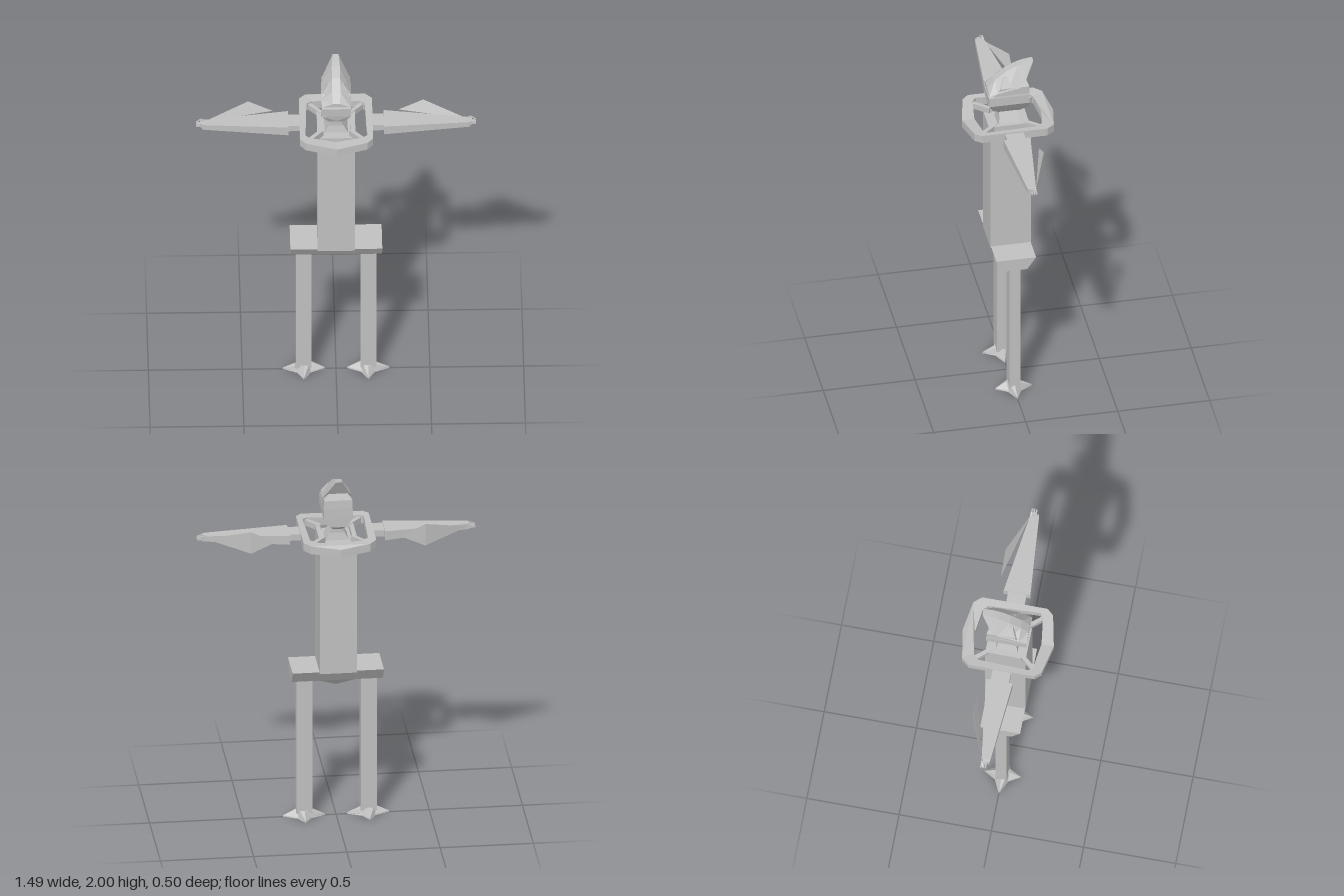
import * as THREE from 'three';

const gray = new THREE.MeshStandardMaterial({ color: 0xc0c0c0, flatShading: true });
gray.name = 'plain gray';

function add(parent, geometry, name, x = 0, y = 0, z = 0) {
  const mesh = new THREE.Mesh(geometry, gray);
  mesh.name = name;
  mesh.position.set(x, y, z);
  parent.add(mesh);
  return mesh;
}

// Box given by its lower and upper corners
function block(parent, name, [x0, y0, z0], [x1, y1, z1]) {
  return add(parent, new THREE.BoxGeometry(x1 - x0, y1 - y0, z1 - z0), name,
    (x0 + x1) / 2, (y0 + y1) / 2, (z0 + z1) / 2);
}

// Closed faceted skin through rings of equal point count, always facing outwards
function loft(rings) {
  const tris = [];
  const n = rings[0].length;
  for (let r = 0; r + 1 < rings.length; r++) {
    for (let i = 0; i < n; i++) {
      const j = (i + 1) % n;
      const [a, b, c, d] = [rings[r][i], rings[r][j], rings[r + 1][j], rings[r + 1][i]];
      tris.push([a, b, c], [a, c, d]);
    }
  }
  const cap = (ring, flip) => {
    const m = [0, 1, 2].map(k => ring.reduce((s, p) => s + p[k], 0) / n);
    ring.forEach((p, i) => {
      const q = ring[(i + 1) % n];
      tris.push(flip ? [q, p, m] : [p, q, m]);
    });
  };
  cap(rings[0], true);
  cap(rings[rings.length - 1], false);
  const v = p => new THREE.Vector3(...p);
  const volume = tris.reduce((s, [a, b, c]) => s + v(a).dot(v(b).cross(v(c))), 0);
  if (volume < 0) tris.forEach(t => t.reverse());
  const g = new THREE.BufferGeometry();
  g.setAttribute('position', new THREE.Float32BufferAttribute(tris.flat(2), 3));
  g.computeVertexNormals();
  return g;
}

// Horizontal rectangle ring and vertical (constant x) rectangle ring
const level = (y, x, zBack, zFront) => [[x, y, zFront], [x, y, zBack], [-x, y, zBack], [-x, y, zFront]];
const slice = (x, y0, y1, z0, z1) => [[x, y0, z0], [x, y1, z0], [x, y1, z1], [x, y0, z1]];

function collar(parent) {
  const half = [[0, -0.245], [0.165, -0.21], [0.195, -0.175], [0.195, 0.18], [0.16, 0.222], [0, 0.25]];
  const holeHalf = [[0, -0.178], [0.14, -0.16], [0.165, -0.14], [0.155, 0.14], [0.125, 0.165], [0, 0.183]];
  const outline = h => [...h, ...h.slice(1, -1).reverse().map(([x, y]) => [-x, y])]
    .map(([x, y]) => new THREE.Vector2(x, y));
  const shape = new THREE.Shape(outline(half));
  shape.holes.push(new THREE.Path(outline(holeHalf)));
  const g = new THREE.ExtrudeGeometry(shape, { depth: 0.045, bevelEnabled: false });
  g.rotateX(-Math.PI / 2);
  // Sag towards the middle of front and back
  const p = g.attributes.position;
  for (let i = 0; i < p.count; i++) p.setY(i, p.getY(i) - 0.02 * (1 - Math.abs(p.getX(i)) / 0.195));
  g.computeVertexNormals();
  add(parent, g, 'collarRing', 0, 1.627, 0);
  for (const sx of [-1, 1]) {
    block(parent, 'collarRail', [sx * 0.09 - 0.012, 1.62, -0.09], [sx * 0.09 + 0.012, 1.655, 0.09]);
    for (const sz of [-1, 1]) {
      const strut = add(parent, new THREE.BoxGeometry(0.022, 0.032, 0.115), 'collarStrut',
        sx * 0.113, 1.642, sz * 0.122);
      strut.rotation.y = sx * sz * 0.7;
    }
  }
}

function head(parent) {
  add(parent, loft([level(1.62, 0.065, -0.06, 0.06), level(1.665, 0.04, -0.05, 0.05),
    level(1.7, 0.02, -0.05, 0.05)]), 'neck');
  add(parent, loft([
    level(1.69, 0.02, -0.06, 0.045), level(1.72, 0.043, -0.105, 0.085),
    level(1.77, 0.078, -0.107, 0.11), level(1.822, 0.078, -0.107, 0.113),
    level(1.83, 0.076, -0.107, 0.08), level(1.875, 0.076, -0.105, 0.05),
    level(1.925, 0.04, -0.085, 0.03)]), 'face');
  // Chin plate with a pointed lower edge
  add(parent, loft([
    [[-0.077, 1.772, 0.108], [0, 1.772, 0.108], [0.077, 1.772, 0.108], [0, 1.738, 0.09]],
    [[-0.077, 1.772, 0.112], [0, 1.772, 0.112], [0.077, 1.772, 0.112], [0, 1.738, 0.106]]]), 'chinPlate');
  for (const s of [-1, 1]) block(parent, 'eye', [s * 0.058 - 0.013, 1.828, 0.078], [s * 0.058 + 0.013, 1.836, 0.086]);
  // Swept helmet: z, ridge height, ridge half width, side x, side y
  const sections = [
    [0.112, 1.856, 0.02, 0.076, 1.833], [0.07, 1.903, 0.022, 0.08, 1.85],
    [0.01, 1.95, 0.022, 0.08, 1.862], [-0.05, 1.978, 0.022, 0.08, 1.87],
    [-0.088, 1.99, 0.02, 0.066, 1.905], [-0.138, 2.0, 0.016, 0.018, 1.995]];
  add(parent, loft(sections.map(([z, y, r, x, b]) => [[x, b, z], [r, y, z], [-r, y, z], [-x, b, z]])), 'helmet');
}

function arm() {
  const g = new THREE.Group();
  block(g, 'shoulderJoint', [0.16, 1.63, -0.05], [0.258, 1.666, 0.05]);
  add(g, loft([slice(0.255, 1.618, 1.67, -0.075, 0.07), slice(0.7, 1.633, 1.664, -0.015, 0.033),
    slice(0.715, 1.633, 1.662, -0.012, 0.03)]), 'forearm');
  // Double-edged blade swept back behind the forearm
  const tip = [0.705, 1.65, -0.015], inner = [0.335, 1.65, -0.105];
  const top = [0.467, 1.715, -0.105], low = [0.467, 1.59, -0.105];
  add(g, loft([[tip, tip, tip], [inner, top, low]]), 'armBlade');
  // Hand with three fingers and a thumb
  block(g, 'palm', [0.7, 1.638, -0.015], [0.724, 1.66, 0.018]);
  for (const z of [-0.011, 0.001, 0.013]) block(g, 'finger', [0.722, 1.64, z - 0.004], [0.746, 1.65, z + 0.004]);
  add(g, loft([slice(0.7, 1.658, 1.664, -0.016, -0.008), slice(0.72, 1.667, 1.674, -0.014, -0.006),
    slice(0.746, 1.657, 1.662, -0.004, 0.002)]), 'thumb');
  return g;
}

function leg() {
  const g = new THREE.Group();
  block(g, 'legPost', [0.13, 0.025, -0.03], [0.215, 0.82, 0.03]);
  // Four-pointed star foot
  const star = (y, rx, rz, inner) => Array.from({ length: 8 }, (_, i) => {
    const a = i * Math.PI / 4, odd = i % 2;
    return [0.172 + Math.cos(a) * (odd ? inner : rx), y, Math.sin(a) * (odd ? inner : rz)];
  });
  add(g, loft([star(0, 0.114, 0.1, 0.052), star(0.008, 0.112, 0.098, 0.048),
    star(0.042, 0.042, 0.038, 0.036)]), 'foot');
  return g;
}

export function createModel() {
  const model = new THREE.Group();
  model.name = 'figure';

  block(model, 'torso', [-0.1, 0.87, -0.11], [0.1, 1.625, 0.11]);
  add(model, loft([level(0.81, 0.245, -0.06, 0.06), level(0.88, 0.245, -0.108, 0.108)]), 'pelvis');
  add(model, loft([level(0.76, 0, 0, 0), level(0.811, 0.1, -0.06, 0.06)]), 'crotch');
  // Pointed front and back facings of the pelvis
  collar(model);
  head(model);

  // Limbs, built again on the other side by mirrored scale
  for (const side of [1, -1]) {
    const label = side > 0 ? 'left' : 'right';
    for (const [build, name] of [[arm, 'Arm'], [leg, 'Leg']]) {
      const limb = build();
      limb.name = label + name;
      limb.scale.x = side;
      model.add(limb);
    }
  }
  return model;
}
